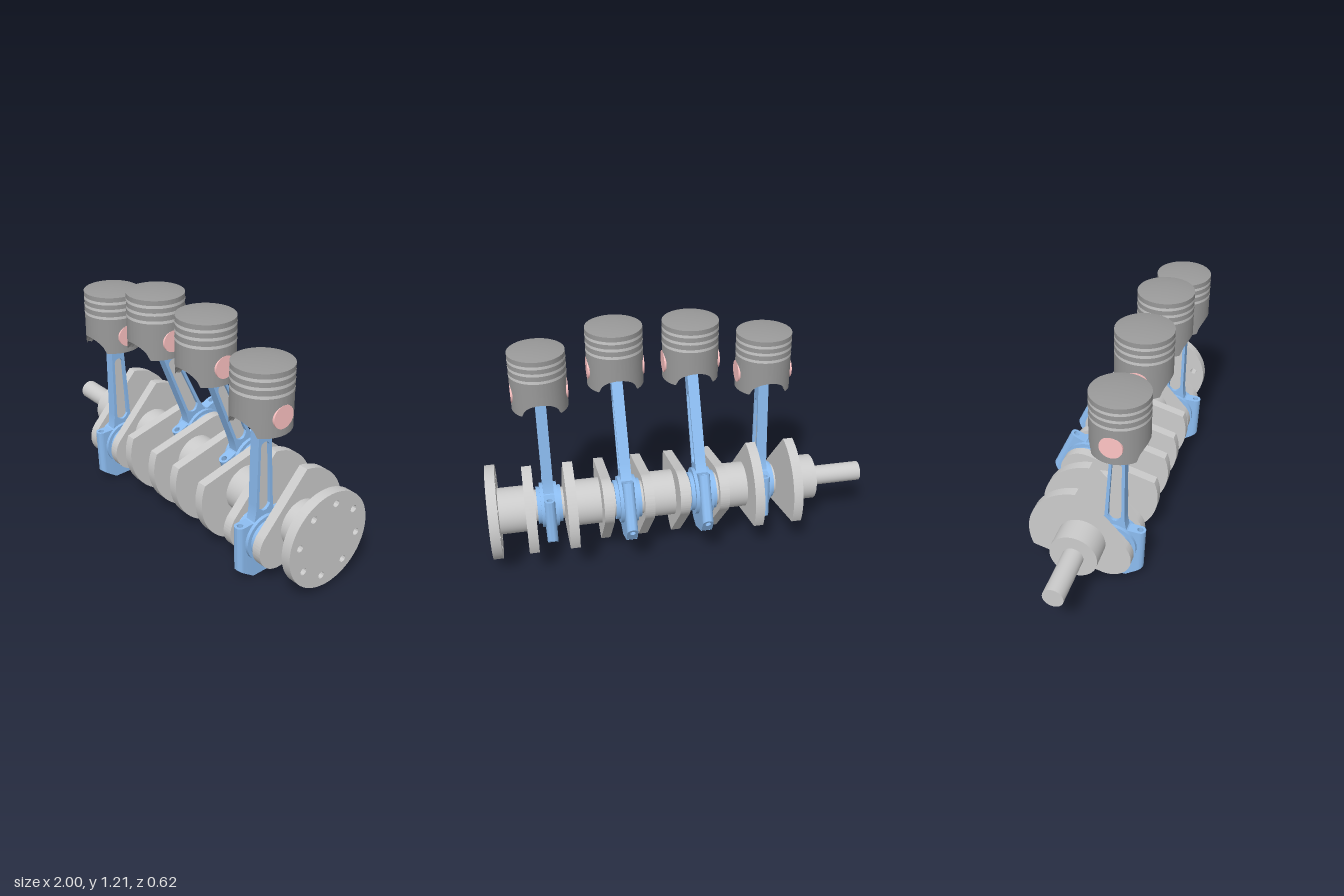
import * as THREE from 'three';
import { toCreasedNormals } from 'three/addons/utils/BufferGeometryUtils.js';

const mat = (color) => new THREE.MeshStandardMaterial({ color });
const STEEL = mat(0xcccccc), PISTON = mat(0x999999), BLUE = mat(0x8cbcf0), PINK = mat(0xffc4c4);
PISTON.side = THREE.DoubleSide;

const AXIS = { y: 0.2875, z: 0.0125 };      // crankshaft centre line
const THROW = { y: 0.0775, z: -0.1275 };    // inner crank pin relative to the centre line
const PISTON_Z = 0.165, ROD = 0.682;

function add(parent, name, geo, material, x = 0, y = 0, z = 0) {
  const m = new THREE.Mesh(geo, material);
  m.name = name;
  m.position.set(x, y, z);
  parent.add(m);
  return m;
}

// Cylinder lying along x, centred
const rod = (r, len, seg = 64) => new THREE.CylinderGeometry(r, r, len, seg).rotateZ(Math.PI / 2);

// Plate with its outline in the (-z, y) plane and its thickness along x, centred
function plate(shape, t) {
  const g = new THREE.ExtrudeGeometry(shape, { depth: t, bevelEnabled: false, curveSegments: 40 });
  return toCreasedNormals(g.translate(0, 0, -t / 2).rotateY(Math.PI / 2), 0.5);
}

function hole(x, y, r) {
  return new THREE.Path().absarc(x, y, r, 0, Math.PI * 2, true);
}

// Crank web: round nose about the pin at +y, counterweight arc at -y
function webGeometry() {
  const d = Math.hypot(THROW.y, THROW.z), down = -Math.PI / 2, half = 0.925;
  const s = new THREE.Shape();
  s.absarc(0, d, 0.12, 0.24, Math.PI - 0.24, false);
  s.absarc(0, 0, 0.274, down - half, down + half, false);
  s.closePath();
  return plate(s, 0.05);
}

function flangeGeometry() {
  const s = new THREE.Shape().absarc(0, 0, 0.243, 0, Math.PI * 2, false);
  for (let i = 0; i < 8; i++) {
    const a = 0.175 + i * Math.PI / 4;
    s.holes.push(hole(0.184 * Math.sin(a), 0.184 * Math.cos(a), 0.018));
  }
  return plate(s, 0.05);
}

// Bolt lug of the big end: rounded outer edge, bolt hole, chamfered foot
function lugGeometry() {
  const w = 0.028, s = new THREE.Shape();
  s.moveTo(0.07, -w);
  s.lineTo(0.127, -w);
  s.absarc(0.127, 0, w, -Math.PI / 2, Math.PI / 2, false);
  s.lineTo(0.07, w);
  s.closePath();
  s.holes.push(hole(0.127, 0, 0.015));
  const g = new THREE.ExtrudeGeometry(s, { depth: 1, bevelEnabled: false, curveSegments: 16 });
  const p = g.attributes.position;
  for (let i = 0; i < p.count; i++) {
    const a = p.getX(i), foot = -0.137 - (0.155 - a) * 0.74;
    p.setXYZ(i, p.getY(i), p.getZ(i) > 0.5 ? 0.1 : foot, a);
  }
  return toCreasedNormals(g, 0.5);
}

// Tapered beam with a long pocket
function beamGeometry() {
  const top = ROD - 0.04, s = new THREE.Shape();
  s.moveTo(-0.07, 0.08);
  s.lineTo(0.07, 0.08);
  s.quadraticCurveTo(0.052, 0.13, 0.05, 0.19);
  s.lineTo(0.034, top);
  s.lineTo(-0.034, top);
  s.lineTo(-0.05, 0.19);
  s.quadraticCurveTo(-0.052, 0.13, -0.07, 0.08);
  const h = new THREE.Path();
  h.moveTo(-0.034, 0.17);
  h.lineTo(-0.025, 0.485);
  h.absarc(0, 0.485, 0.025, Math.PI, 0, true);
  h.lineTo(0.034, 0.17);
  h.quadraticCurveTo(0, 0.12, -0.034, 0.17);
  s.holes.push(h);
  return plate(s, 0.055);
}

function connectingRod() {
  const g = new THREE.Group();
  g.name = 'connectingRod';
  add(g, 'bearingShell', rod(0.1, 0.13), BLUE);
  add(g, 'bigEnd', rod(0.12, 0.09), BLUE);
  add(g, 'capBase', new THREE.BoxGeometry(0.056, 0.15, 0.142), BLUE, 0, -0.125, 0);
  const lug = lugGeometry();
  for (const turn of [0, Math.PI]) add(g, 'boltLug', lug, BLUE).rotation.y = turn;
  add(g, 'beam', beamGeometry(), BLUE);
  add(g, 'beamWeb', new THREE.BoxGeometry(0.024, 0.4, 0.062), STEEL, 0, 0.325, 0);
  add(g, 'smallEnd', rod(0.068, 0.16), BLUE, 0, ROD, 0);
  return g;
}

// Hollow piston standing on y = 0, its skirt arched at front and back
function piston() {
  const g = new THREE.Group(), R = 0.143;
  g.name = 'piston';
  const pts = [[0, 0.205], [0.122, 0.205], [0.122, 0], [R, 0], [R, 0.1], [R, 0.304],
    [0.11, 0.311], [0.06, 0.316], [0, 0.318]].map(([x, y]) => new THREE.Vector2(x, y));
  const body = new THREE.LatheGeometry(pts, 128), p = body.attributes.position;
  for (let i = 0; i < p.count; i++) {
    if (p.getY(i) !== 0) continue;
    const u = p.getX(i) / 0.092;
    if (Math.abs(u) < 1) p.setY(i, 0.07 * Math.sqrt(1 - u * u));
  }
  add(g, 'pistonBody', toCreasedNormals(body, 0.5), PISTON);
  for (const y of [0.195, 0.235, 0.273])
    add(g, 'pistonRing', new THREE.CylinderGeometry(R + 0.001, R + 0.001, 0.015, 96, 1, true), STEEL, 0, y, 0);
  for (const side of [-1, 1])
    add(g, 'pinBoss', rod(0.07, 0.035), PISTON, side * 0.102, 0.09, 0);
  add(g, 'wristPin', rod(0.056, 2 * R), PINK, 0, 0.09, 0);
  return g;
}

export function createModel() {
  const model = new THREE.Group();
  model.name = 'crankshaftAssembly';
  const crank = new THREE.Group();
  crank.name = 'crankshaft';
  crank.position.set(0, AXIS.y, AXIS.z);
  model.add(crank);

  const between = (name, r, x0, x1) => add(crank, name, rod(r, x1 - x0), STEEL, (x0 + x1) / 2);
  between('frontShaft', 0.052, -1, -0.72);
  add(crank, 'flange', flangeGeometry(), STEEL, 0.975);

  const web = webGeometry();
  let edge = -0.727;                         // where the next main journal starts
  [-0.473, -0.086, 0.301, 0.688].forEach((x, i) => {
    const sign = i === 0 || i === 3 ? -1 : 1;  // outer throws point opposite to inner ones
    const py = THROW.y * sign, pz = THROW.z * sign;
    between('mainJournal', 0.12, edge, x - 0.12);
    edge = x + 0.12;
    for (const side of [-1, 1])
      add(crank, 'web', web, STEEL, x + side * 0.1025).rotation.x = Math.atan2(pz, py);
    add(crank, 'crankPin', rod(0.085, 0.17), STEEL, x, py, pz);

    // Rod leans from the crank pin to the wrist pin on the cylinder line
    const y = AXIS.y + py, z = AXIS.z + pz, dz = PISTON_Z - z;
    const rise = Math.sqrt(ROD * ROD - dz * dz);
    const r = connectingRod();
    r.position.set(x, y, z);
    r.rotation.x = Math.atan2(dz, rise);
    const p = piston();
    p.position.set(x, y + rise - 0.09, PISTON_Z);
    model.add(r, p);
  });
  between('mainJournal', 0.12, edge, 0.955);
  return model;
}
